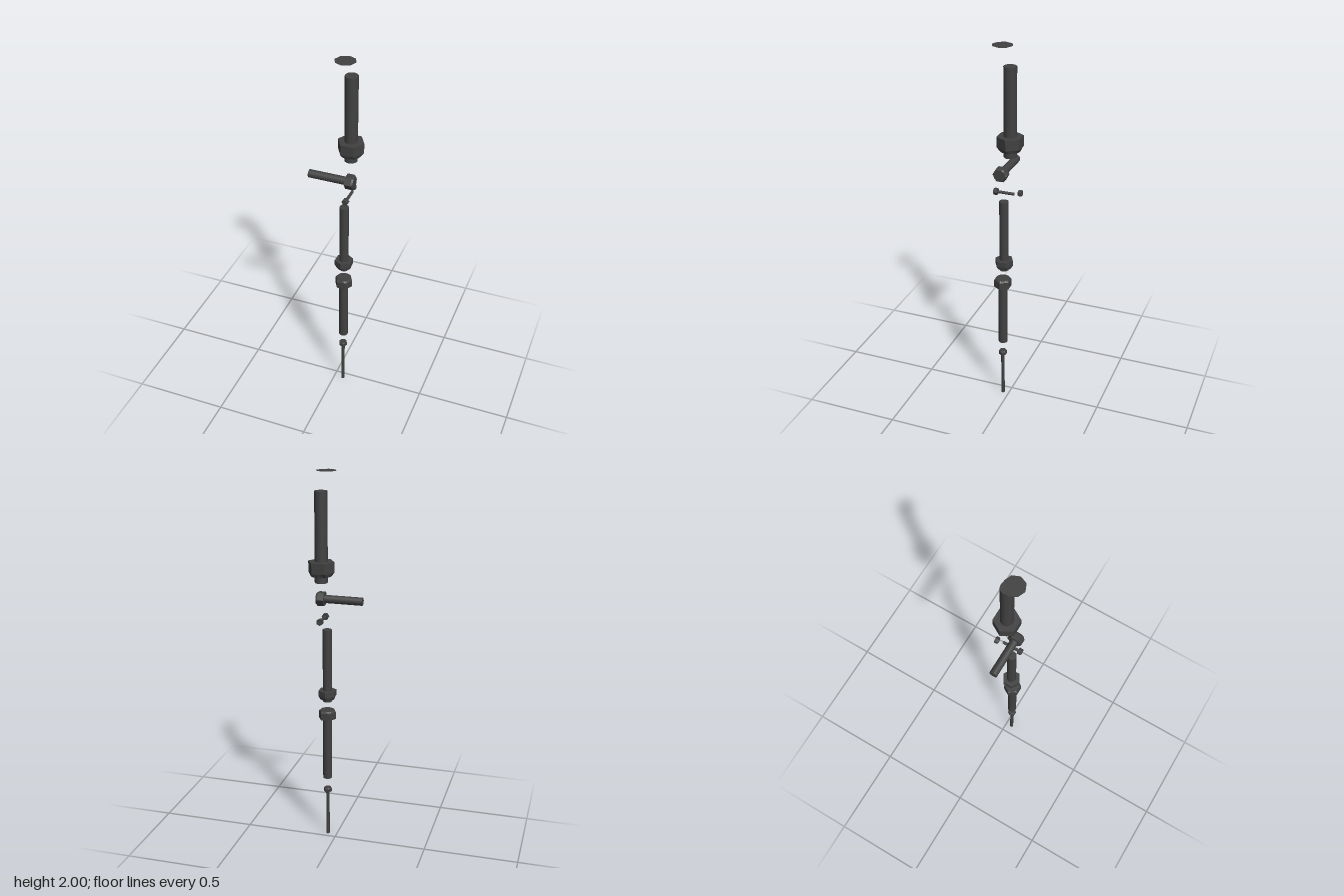
import * as THREE from 'three';
import { mergeVertices } from 'three/addons/utils/BufferGeometryUtils.js';

const darkSteel = new THREE.MeshStandardMaterial({ color: 0x414141, side: THREE.DoubleSide });
darkSteel.name = 'darkSteel';

// Turn a profile, then press its sides into a hexagon (corners on z).
function hexSolid(profile, radius) {
  const lathe = new THREE.LatheGeometry(profile.map(([r, y]) => new THREE.Vector2(r, y)), 24);
  const p = lathe.attributes.position;
  for (let i = 0; i < p.count; i++) {
    const x = p.getX(i), z = p.getZ(i), r = Math.hypot(x, z);
    if (r < 1e-6) continue;
    const sector = Math.PI / 3;
    const a = ((Math.atan2(x, z) + Math.PI * 2) % sector) - sector / 2;
    const k = Math.min(1, radius * Math.cos(sector / 2) / Math.cos(a) / r);
    p.setXYZ(i, x * k, p.getY(i), z * k);
  }
  lathe.deleteAttribute('normal');
  lathe.deleteAttribute('uv');
  const flat = mergeVertices(lathe, 1e-5).toNonIndexed();
  flat.computeVertexNormals();
  return flat;
}

function addMesh(parent, name, geometry) {
  const mesh = new THREE.Mesh(geometry, darkSteel);
  mesh.name = name;
  parent.add(mesh);
  return mesh;
}

// Bolt along local y: shaft and head ranges, chamfer at the bottom and top of the head.
function bolt(name, { shaft, shaftR, head, headR, low = 0, high = 0, turn = 0 }) {
  const group = new THREE.Group();
  group.name = name;
  const rod = new THREE.CylinderGeometry(shaftR, shaftR, shaft[1] - shaft[0], 20);
  rod.translate(0, (shaft[0] + shaft[1]) / 2, 0);
  addMesh(group, 'shaft', rod);
  const cap = headR * 0.78;
  const hex = hexSolid([
    [0, head[0]], [low ? cap : headR, head[0]], [headR, head[0] + low],
    [headR, head[1] - high], [high ? cap : headR, head[1]], [0, head[1]],
  ], headR);
  addMesh(group, 'hexHead', hex).rotation.y = turn;
  return group;
}

export function createModel() {
  const model = new THREE.Group();
  model.name = 'boltSet';
  const quarter = Math.PI / 2;
  const place = (part, x, y, z) => { part.position.set(x, y, z); model.add(part); return part; };

  // Flat plate floating at the top
  const disc = new THREE.CircleGeometry(0.053, 8);
  disc.rotateX(-quarter);
  addMesh(model, 'topDisc', disc).position.set(0.052, 2, 0.028);

  // Upright bolts, from the largest down
  place(bolt('largeBolt', {
    shaft: [1.445, 1.906], shaftR: 0.033, head: [1.48, 1.554], headR: 0.068, low: 0.019, turn: quarter,
  }), 0.067, 0, -0.017);
  place(bolt('middleBolt', {
    shaft: [0.79, 1.186], shaftR: 0.024, head: [0.805, 0.852], headR: 0.049, low: 0.017, turn: 0,
  }), 0.049, 0, 0.025);
  place(bolt('lowerBolt', {
    shaft: [0.342, 0.72], shaftR: 0.024, head: [0.69, 0.738], headR: 0.047, high: 0.009, turn: quarter,
  }), 0.051, 0, 0.032);
  place(bolt('thinBolt', {
    shaft: [0, 0.27], shaftR: 0.0095, head: [0.259, 0.281], headR: 0.023, high: 0.005, turn: quarter,
  }), 0.05, 0, 0.034);

  // Sideways bolt with its head on the left
  place(bolt('sideBolt', {
    shaft: [-0.138, 0.08], shaftR: 0.021, head: [0.061, 0.104], headR: 0.039, high: 0.009,
  }), 0, 1.348, 0.028).rotation.z = -quarter;

  // Small bolt pointing back, with its loose nut
  place(bolt('smallBolt', {
    shaft: [-0.038, 0.06], shaftR: 0.0075, head: [0.05, 0.071], headR: 0.018, high: 0.003, turn: quarter,
  }), 0.068, 1.245, 0).rotation.x = quarter;
  const nut = hexSolid([
    [0.008, -0.077], [0.018, -0.077], [0.018, -0.061], [0.014, -0.058], [0.008, -0.058], [0.008, -0.077],
  ], 0.018);
  const nutMesh = addMesh(model, 'smallNut', nut);
  nutMesh.position.set(0.06, 1.252, 0);
  nutMesh.rotation.x = quarter;

  return model;
}
